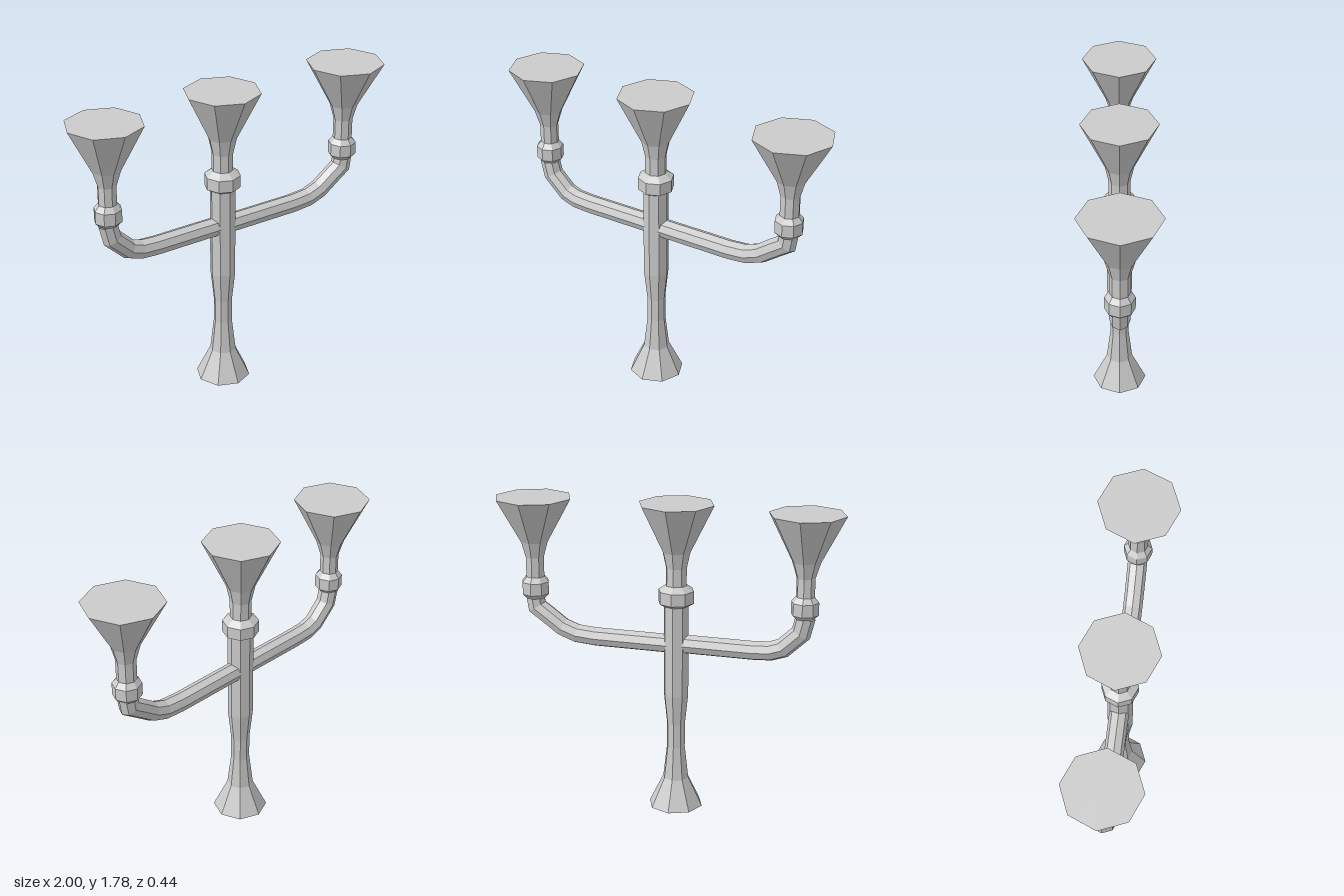
import * as THREE from 'three';

const SIDES = 8;
const STEM_X = -0.06;
const material = new THREE.MeshStandardMaterial({ color: 0xcccccc, flatShading: true, side: THREE.DoubleSide });

// Octagonal turned part from [radius, y] pairs, closed at both ends
function turned(name, x, profile) {
  const ys = profile.map(p => p[1]);
  const points = [[0, ys[0]], ...profile, [0, ys[ys.length - 1]]].map(p => new THREE.Vector2(...p));
  const mesh = new THREE.Mesh(new THREE.LatheGeometry(points, SIDES), material);
  mesh.name = name;
  mesh.position.x = x;
  return mesh;
}

// Octagonal tube with mitred joints along a path in the xy plane
function bentTube(name, path, radius) {
  const pts = path.map(p => new THREE.Vector2(...p));
  const last = pts.length - 1;
  const positions = [], index = [];
  pts.forEach((p, i) => {
    const before = pts[i].clone().sub(pts[Math.max(i - 1, 0)]).normalize();
    const after = pts[Math.min(i + 1, last)].clone().sub(p).normalize();
    const t = before.clone().add(after).normalize();
    const miter = radius / t.dot(i < last ? after : before);
    for (let s = 0; s < SIDES; s++) {
      const a = s / SIDES * Math.PI * 2;
      const n = Math.cos(a) * miter;
      positions.push(p.x - t.y * n, p.y + t.x * n, Math.sin(a) * radius);
      if (i < last) {
        const b = i * SIDES, q = b + (s + 1) % SIDES;
        index.push(b + s, q, b + s + SIDES, q, q + SIDES, b + s + SIDES);
      }
    }
  });
  const geometry = new THREE.BufferGeometry();
  geometry.setAttribute('position', new THREE.Float32BufferAttribute(positions, 3));
  geometry.setIndex(index);
  geometry.computeVertexNormals();
  const mesh = new THREE.Mesh(geometry, material);
  mesh.name = name;
  return mesh;
}

// Collar, neck and flared cup
function cup(name, x, y, top, collar, neck, rim) {
  return turned(name, x, [
    [neck, y - 0.06], [collar, y - 0.035], [collar, y + 0.035], [neck, y + 0.065],
    [neck, 1.42], [0.08, 1.51], [rim, top],
  ]);
}

export function createModel() {
  const model = new THREE.Group();

  // Central stem with flared foot
  model.add(turned('stem', STEM_X, [
    [0.157, 0], [0.075, 0.17], [0.053, 0.36], [0.053, 0.5], [0.072, 0.68], [0.072, 1.22],
  ]));

  // Side arms, each bending up to its cup
  model.add(bentTube('rightArm', [
    [STEM_X, 0.98], [-0.5, 0.98], [-0.6, 0.986], [-0.67, 1.01], [-0.77, 1.105], [-0.793, 1.2],
  ], 0.055));
  model.add(bentTube('leftArm', [
    [STEM_X, 0.975], [0.42, 0.975], [0.53, 0.984], [0.615, 1.015], [0.705, 1.08], [0.77, 1.125], [0.782, 1.2],
  ], 0.055));

  // Cups
  model.add(cup('centreCup', STEM_X, 1.255, 1.78, 0.102, 0.06, 0.214));
  model.add(cup('rightCup', -0.787, 1.25, 1.77, 0.077, 0.052, 0.213));
  model.add(cup('leftCup', 0.777, 1.24, 1.763, 0.08, 0.055, 0.222));

  return model;
}
